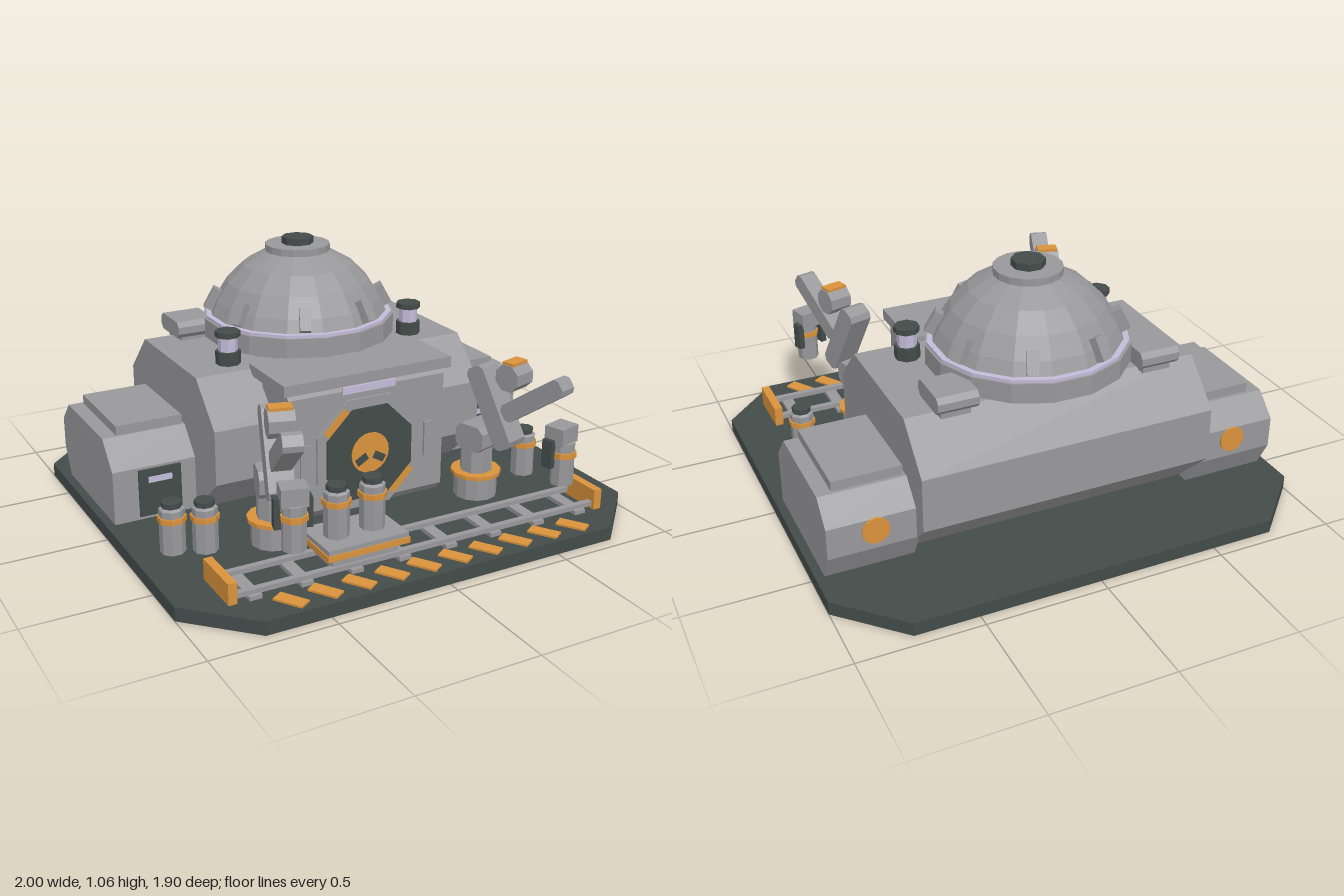
import * as THREE from 'three';

const paint = (name, color) => {
  const m = new THREE.MeshStandardMaterial({ color, flatShading: true });
  m.name = name;
  return m;
};

export function createModel() {
  const model = new THREE.Group();
  const gray = paint('panel gray', 0x98979a);
  const dark = paint('dark slate', 0x434c4a);
  const orange = paint('safety orange', 0xd9923c);
  const glow = paint('pale lavender', 0xc2bcd8);

  const add = (parent, name, geo, mat, x = 0, y = 0, z = 0) => {
    const m = new THREE.Mesh(geo, mat);
    m.name = name;
    m.position.set(x, y, z);
    parent.add(m);
    return m;
  };
  const box = (parent, name, mat, w, h, d, x, y, z) =>
    add(parent, name, new THREE.BoxGeometry(w, h, d), mat, x, y, z);
  // Upright prism from y0 to y1 with flats facing the axes
  const drum = (parent, name, mat, r0, r1, y0, y1, x = 0, z = 0, n = 8) =>
    add(parent, name, new THREE.CylinderGeometry(r1, r0, y1 - y0, n).rotateY(Math.PI / n), mat, x, (y0 + y1) / 2, z);
  const polygon = pts => new THREE.Shape(pts.map(p => new THREE.Vector2(...p)));
  // Profile of [z, y] points extruded along x
  const alongX = (pts, width) =>
    new THREE.ExtrudeGeometry(polygon(pts.map(([z, y]) => [-z, y])), { depth: width, bevelEnabled: false })
      .translate(0, 0, -width / 2).rotateY(Math.PI / 2);
  // Box with cut corners in its side profile
  const cutBox = (w, h, d, c) => {
    const a = d / 2, b = h / 2;
    return alongX([[-a, b - c], [-a, c - b], [c - a, -b], [a - c, -b], [a, c - b], [a, b - c], [a - c, b], [c - a, b]], w);
  };
  const group = (name, parent = model) => {
    const g = new THREE.Group();
    g.name = name;
    parent.add(g);
    return g;
  };
  const canister = (parent, x, y, z, h = 0.21) => {
    const g = group('canister', parent);
    g.position.set(x, y, z);
    drum(g, 'canisterBody', gray, 0.05, 0.05, 0, h - 0.03);
    drum(g, 'canisterBand', orange, 0.057, 0.057, h * 0.62, h * 0.62 + 0.022);
    drum(g, 'canisterNeck', gray, 0.05, 0.038, h - 0.03, h - 0.02);
    drum(g, 'canisterCap', dark, 0.04, 0.04, h - 0.03, h);
  };

  // Ground slab
  const slab = polygon([[-1, -0.71], [-0.76, -0.95], [0.76, -0.95], [1, -0.71], [1, 0.71], [0.76, 0.95], [-0.76, 0.95], [-1, 0.71]]);
  add(model, 'groundSlab', new THREE.ExtrudeGeometry(slab, { depth: 0.056, bevelEnabled: false }).rotateX(-Math.PI / 2), dark);

  // Main hall
  add(model, 'mainHall', alongX([[0.01, 0.055], [0.21, 0.235], [0.21, 0.46], [0.04, 0.63], [-0.52, 0.63],
    [-0.69, 0.46], [-0.69, 0.235], [-0.51, 0.055]], 1.23), gray);

  // Side wings, roof boxes and lamps
  for (const s of [-1, 1]) {
    const wing = group(s > 0 ? 'leftWing' : 'rightWing');
    add(wing, 'wingBody', alongX([[0, 0.055], [0, 0.28], [-0.1, 0.39], [-0.53, 0.39], [-0.62, 0.3], [-0.62, 0.17],
      [-0.56, 0.055]], 0.36), gray, s * 0.785);
    box(wing, 'wingRoof', gray, 0.28, 0.05, 0.41, s * 0.765, 0.405, -0.31);
    box(wing, 'wingDoor', dark, 0.18, 0.2, 0.009, s * 0.77, 0.17, 0.004);
    box(wing, 'doorWindow', glow, 0.1, 0.025, 0.004, s * 0.77, 0.225, 0.01);
    add(wing, 'rearPort', new THREE.CylinderGeometry(0.055, 0.055, 0.009, 16).rotateX(Math.PI / 2), orange, s * 0.775, 0.25, -0.624);

    add(model, 'roofVent', cutBox(0.165, 0.07, 0.2, 0.02), gray, s * 0.425, 0.683, -0.495);
    box(model, 'roofVentFoot', gray, 0.12, 0.04, 0.14, s * 0.425, 0.64, -0.495);
    drum(model, 'lampBase', dark, 0.052, 0.052, 0.625, 0.685, s * 0.427, -0.068);
    drum(model, 'lampGlass', glow, 0.04, 0.04, 0.685, 0.75, s * 0.427, -0.068);
    drum(model, 'lampCap', dark, 0.052, 0.052, 0.745, 0.768, s * 0.427, -0.068);
  }

  // Dome
  const dome = group('dome');
  dome.position.z = -0.28;
  drum(dome, 'domeCollar', gray, 0.35, 0.35, 0.62, 0.665, 0, 0, 16);
  drum(dome, 'domeDrum', gray, 0.41, 0.41, 0.655, 0.735, 0, 0, 16);
  drum(dome, 'domeLightRing', glow, 0.402, 0.402, 0.735, 0.748, 0, 0, 16);
  const shell = [[0.38, 0.745], [0.355, 0.8], [0.305, 0.88], [0.235, 0.95], [0.13, 1.01]].map(p => new THREE.Vector2(...p));
  add(dome, 'domeShell', new THREE.LatheGeometry(shell, 16).rotateY(Math.PI / 16), gray);
  drum(dome, 'domeCrown', gray, 0.138, 0.138, 1.0, 1.035, 0, 0, 16);
  drum(dome, 'domeCap', dark, 0.068, 0.068, 1.03, 1.064);
  for (let i = 0; i < 8; i++) {
    const pivot = group('domeRib', dome);
    pivot.rotation.y = Math.PI / 8 + i * Math.PI / 4;
    box(pivot, 'rib', gray, 0.045, 0.095, 0.045, 0, 0.8, 0.362).rotation.x = -0.5;
  }

  // Gatehouse with octagonal blast door
  const gate = group('gatehouse');
  add(gate, 'gateBody', alongX([[0.3, 0.055], [0.33, 0.09], [0.33, 0.58], [0.3, 0.61], [0.1, 0.61], [0.1, 0.055]], 0.71), gray);
  box(gate, 'gateRoof', gray, 0.76, 0.045, 0.31, 0, 0.628, 0.19);
  const octagon = (name, mat, apothem, depth, z) =>
    add(gate, name, new THREE.CylinderGeometry(apothem / Math.cos(Math.PI / 8), apothem / Math.cos(Math.PI / 8), depth, 8)
      .rotateY(Math.PI / 8).rotateX(Math.PI / 2), mat, 0, 0.306, z);
  octagon('doorFrame', gray, 0.235, 0.02, 0.332);
  octagon('blastDoor', dark, 0.195, 0.008, 0.344);
  for (const s of [-1, 1]) {
    const a = s > 0 ? -Math.PI / 4 : Math.PI * 0.75;
    box(gate, 'frameStripe', orange, 0.03, 0.13, 0.006, Math.cos(a) * 0.213, 0.306 + Math.sin(a) * 0.213, 0.344).rotation.z = a;
    box(gate, 'gatePanel', gray, 0.045, 0.15, 0.012, s * 0.285, 0.308, 0.334);
  }
  add(gate, 'doorDisc', new THREE.CylinderGeometry(0.086, 0.086, 0.005, 20).rotateX(Math.PI / 2), orange, 0, 0.306, 0.35);
  for (const a of [-Math.PI / 6, -Math.PI * 5 / 6])
    box(gate, 'discSlot', dark, 0.055, 0.032, 0.003, Math.cos(a) * 0.046, 0.306 + Math.sin(a) * 0.046, 0.353).rotation.z = a;
  box(gate, 'gateLight', glow, 0.24, 0.03, 0.009, 0, 0.583, 0.334);

  // Rail track with end stops
  const track = group('track');
  for (const z of [0.615, 0.77]) box(track, 'rail', gray, 1.6, 0.02, 0.026, 0, 0.08, z);
  for (let i = 0; i < 8; i++) box(track, 'sleeper', gray, 0.05, 0.018, 0.225, -0.725 + i * 0.207, 0.064, 0.687);
  for (const s of [-1, 1]) box(track, 'endStop', orange, 0.035, 0.085, 0.22, s * 0.813, 0.1, 0.686);

  // Cart carrying two canisters
  const cart = group('cart');
  box(cart, 'cartChassis', gray, 0.28, 0.05, 0.17, -0.262, 0.108, 0.687);
  box(cart, 'cartTrim', orange, 0.35, 0.024, 0.232, -0.262, 0.14, 0.687);
  box(cart, 'cartBed', gray, 0.34, 0.02, 0.222, -0.262, 0.161, 0.687);
  for (const x of [-0.34, -0.187]) canister(cart, x, 0.168, 0.687);

  // Loose canisters
  for (const [x, z] of [[-0.843, 0.31], [-0.728, 0.358], [0.77, 0.343]]) canister(model, x, 0.055, z);

  // Hazard stripes along the front edge
  for (let i = 0; i < 10; i++)
    box(model, 'hazardStripe', orange, 0.055, 0.008, 0.12, -0.62 + i * 0.139, 0.06, 0.866).rotation.y = 0.57;

  // Cargo arms
  for (const s of [-1, 1]) {
    const arm = group(s > 0 ? 'leftCargoArm' : 'rightCargoArm');
    arm.position.set(s * 0.47, 0, 0.42);
    arm.rotation.y = s * 0.28;
    drum(arm, 'armBase', gray, 0.09, 0.09, 0.055, 0.155, 0, 0, 12);
    drum(arm, 'armBaseRing', orange, 0.105, 0.105, 0.152, 0.168, 0, 0, 12);
    drum(arm, 'armTurret', gray, 0.068, 0.068, 0.165, 0.28);
    add(arm, 'shoulder', cutBox(0.13, 0.11, 0.14, 0.025), gray, 0, 0.322, 0.01);
    add(arm, 'upperArm', cutBox(0.1, 0.355, 0.09, 0.02), gray, 0, 0.47, 0.09).rotation.x = -0.5;
    add(arm, 'elbow', new THREE.CylinderGeometry(0.058, 0.058, 0.1, 8).rotateY(Math.PI / 8).rotateZ(Math.PI / 2), gray, 0, 0.62, 0.175);
    box(arm, 'elbowCap', orange, 0.09, 0.012, 0.055, 0, 0.678, 0.175);
    add(arm, 'forearm', cutBox(0.075, 0.33, 0.075, 0.017), gray, 0, 0.55, 0.288).rotation.x = 0.95;
    box(arm, 'wrist', gray, 0.1, 0.07, 0.085, 0, 0.445, 0.415);
    for (const c of [-1, 1]) box(arm, 'claw', dark, 0.025, 0.115, 0.045, c * 0.058, 0.372, 0.4);
    drum(arm, 'heldCanister', gray, 0.046, 0.046, 0.24, 0.415, 0, 0.428);
    drum(arm, 'heldCanisterBand', orange, 0.053, 0.053, 0.355, 0.378, 0, 0.428);
  }
  return model;
}
